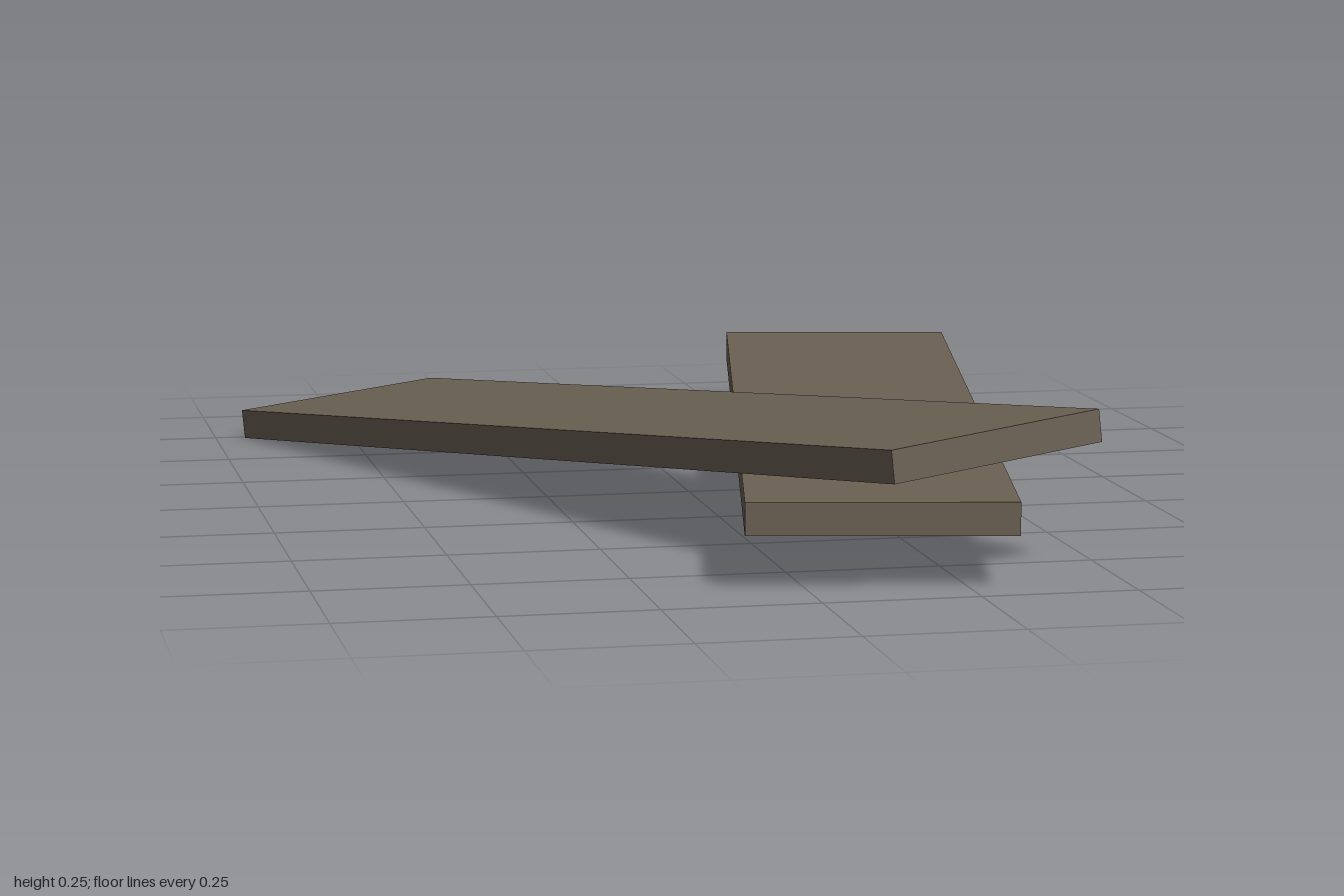
import * as THREE from 'three';

export function createModel() {
  const model = new THREE.Group();
  model.name = 'crossedPlanks';

  const wood = new THREE.MeshStandardMaterial({ color: 0x6b6154 });
  wood.name = 'weathered wood';

  const plankGeometry = new THREE.BoxGeometry(0.424, 0.0525, 1.92);

  // Places a plank by its centre and the directions of its length and width
  function addPlank(name, centre, length, width) {
    const z = new THREE.Vector3(...length).normalize();
    const y = z.clone().cross(new THREE.Vector3(...width)).normalize();
    const x = y.clone().cross(z);
    const plank = new THREE.Mesh(plankGeometry, wood);
    plank.name = name;
    plank.quaternion.setFromRotationMatrix(new THREE.Matrix4().makeBasis(x, y, z));
    plank.position.set(...centre);
    model.add(plank);
  }

  // Level plank
  addPlank('lowerPlank', [0.302, 0.1145, -0.018], [-0.378, 0, 1.882], [0.415, 0, 0.083]);
  // Plank leaning across it, low at the back left
  addPlank('leaningPlank', [-0.103, 0.13, 0.037], [0.81, 0.178, 1.735], [0.385, 0.024, -0.18]);

  return model;
}
